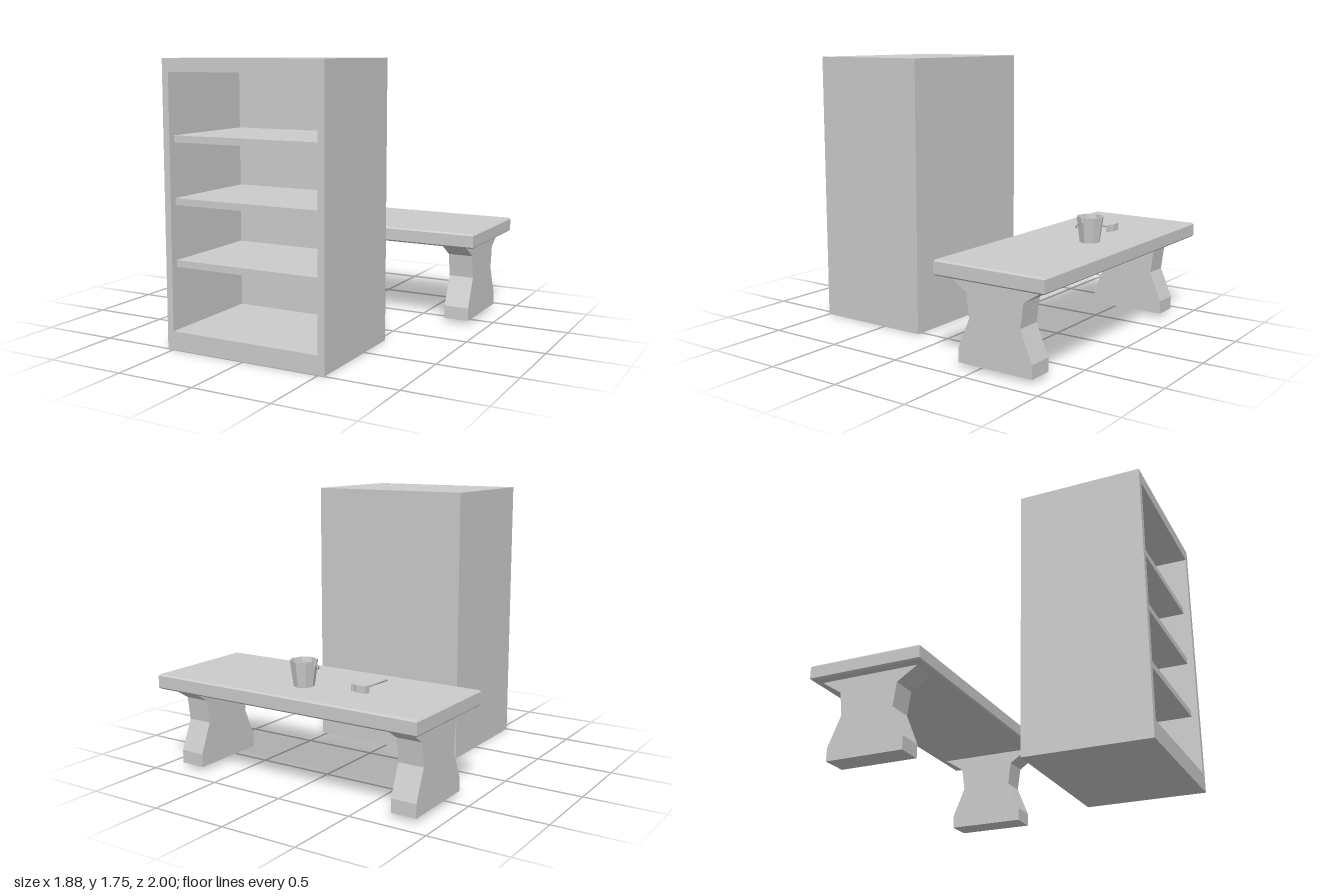
import * as THREE from 'three';

const material = new THREE.MeshStandardMaterial({ color: 0xcccccc, flatShading: true });
const thinMaterial = new THREE.MeshStandardMaterial({ color: 0xcccccc, flatShading: true, side: THREE.DoubleSide });

function addMesh(parent, name, geometry, mat = material) {
  const mesh = new THREE.Mesh(geometry, mat);
  mesh.name = name;
  parent.add(mesh);
  return mesh;
}

// Box given by its lower and upper limits
function addBox(parent, name, [x0, y0, z0], [x1, y1, z1]) {
  const mesh = addMesh(parent, name, new THREE.BoxGeometry(x1 - x0, y1 - y0, z1 - z0));
  mesh.position.set((x0 + x1) / 2, (y0 + y1) / 2, (z0 + z1) / 2);
  return mesh;
}

const polygon = (points) => new THREE.Shape(points.map(([x, y]) => new THREE.Vector2(x, y)));

function createCabinet() {
  const cabinet = new THREE.Group();
  cabinet.name = 'cabinet';

  // Frame: one outline with the opening cut through
  const outline = polygon([[-0.54, 0], [0.54, 0], [0.54, 1.75], [-0.54, 1.75]]);
  outline.holes.push(polygon([[-0.497, 0.115], [-0.497, 1.67], [0.497, 1.67], [0.497, 0.115]]));
  const frame = new THREE.ExtrudeGeometry(outline, { depth: 0.79, bevelEnabled: false });
  addMesh(cabinet, 'cabinetFrame', frame).position.z = 0.21;
  addBox(cabinet, 'cabinetBack', [-0.5, 0.11, 0.21], [0.5, 1.675, 0.255]);

  for (const y of [0.503, 0.88, 1.255]) {
    addBox(cabinet, 'shelf', [-0.497, y, 0.25], [0.497, y + 0.042, 0.955]);
  }
  return cabinet;
}

function createTable() {
  const table = new THREE.Group();
  table.name = 'table';

  // Top with a narrow chamfer round both faces
  const bevel = 0.01, w = 0.94 - bevel, d = 0.377 - bevel;
  const slab = new THREE.ExtrudeGeometry(polygon([[-w, -d], [w, -d], [w, d], [-w, d]]), {
    depth: 0.095 - 2 * bevel, bevelThickness: bevel, bevelSize: bevel, bevelSegments: 1,
  });
  slab.rotateX(-Math.PI / 2);
  addMesh(table, 'tableTop', slab).position.set(0, 0.535 + bevel, -0.623);

  // Waisted legs: half profile (half depth, height) mirrored
  const half = [[0.255, 0.025], [0.255, 0.11], [0.175, 0.3], [0.195, 0.45], [0.335, 0.54]];
  const profile = polygon([...half, ...half.map(([z, y]) => [-z, y]).reverse()]);
  for (const side of [-1, 1]) {
    const leg = new THREE.ExtrudeGeometry(profile, { depth: 0.165, bevelEnabled: false });
    leg.translate(0, 0, -0.0825);
    leg.rotateY(Math.PI / 2);
    addMesh(table, side > 0 ? 'leftLeg' : 'rightLeg', leg).position.set(side * 0.788, 0, -0.625);
  }
  return table;
}

function createBucket() {
  const bucket = new THREE.Group();
  bucket.name = 'bucket';
  bucket.position.set(0, 0.63, -0.73);

  // Eight-sided hollow body
  const points = [[0, 0], [0.064, 0], [0.086, 0.16], [0.079, 0.16], [0.06, 0.01], [0, 0.01]];
  const body = new THREE.LatheGeometry(points.map(([r, y]) => new THREE.Vector2(r, y)), 8);
  addMesh(bucket, 'bucketBody', body, thinMaterial);

  // Handle lowered against the front of the body
  const path = [];
  for (let i = 0; i <= 10; i++) {
    const a = (i / 10) * Math.PI, s = Math.sin(a);
    path.push(new THREE.Vector3(0.088 * Math.cos(a), 0.143 - 0.062 * s, 0.089 * s));
  }
  addMesh(bucket, 'bucketHandle', new THREE.TubeGeometry(new THREE.CatmullRomCurve3(path), 12, 0.0035, 4));
  for (const side of [-1, 1]) {
    addBox(bucket, 'handleEar', [side * 0.086 - 0.007, 0.132, -0.01], [side * 0.086 + 0.007, 0.156, 0.01]);
  }
  return bucket;
}

function createHammer() {
  const hammer = new THREE.Group();
  hammer.name = 'hammer';
  hammer.position.set(-0.385, 0.632, -0.68);

  // Head: block tapering to a blunt wedge
  const outline = polygon([[-0.036, -0.021], [0.032, -0.021], [0.078, -0.006],
    [0.078, 0.006], [0.045, 0.012], [0.032, 0.021], [-0.036, 0.021]]);
  const head = new THREE.ExtrudeGeometry(outline, { depth: 0.045, bevelEnabled: false });
  head.rotateX(-Math.PI / 2);
  addMesh(hammer, 'hammerHead', head);

  // Handle: slightly waisted eight-sided bar
  const profile = [[0, 0], [0.011, 0], [0.009, 0.1], [0.013, 0.2], [0.014, 0.258], [0, 0.258]];
  const handle = new THREE.LatheGeometry(profile.map(([r, y]) => new THREE.Vector2(r, y)), 8);
  handle.rotateX(Math.PI / 2);
  addMesh(hammer, 'hammerHandle', handle).position.y = 0.024;
  return hammer;
}

export function createModel() {
  const model = new THREE.Group();
  model.name = 'workshopFurniture';
  model.add(createCabinet(), createTable(), createBucket(), createHammer());
  return model;
}
